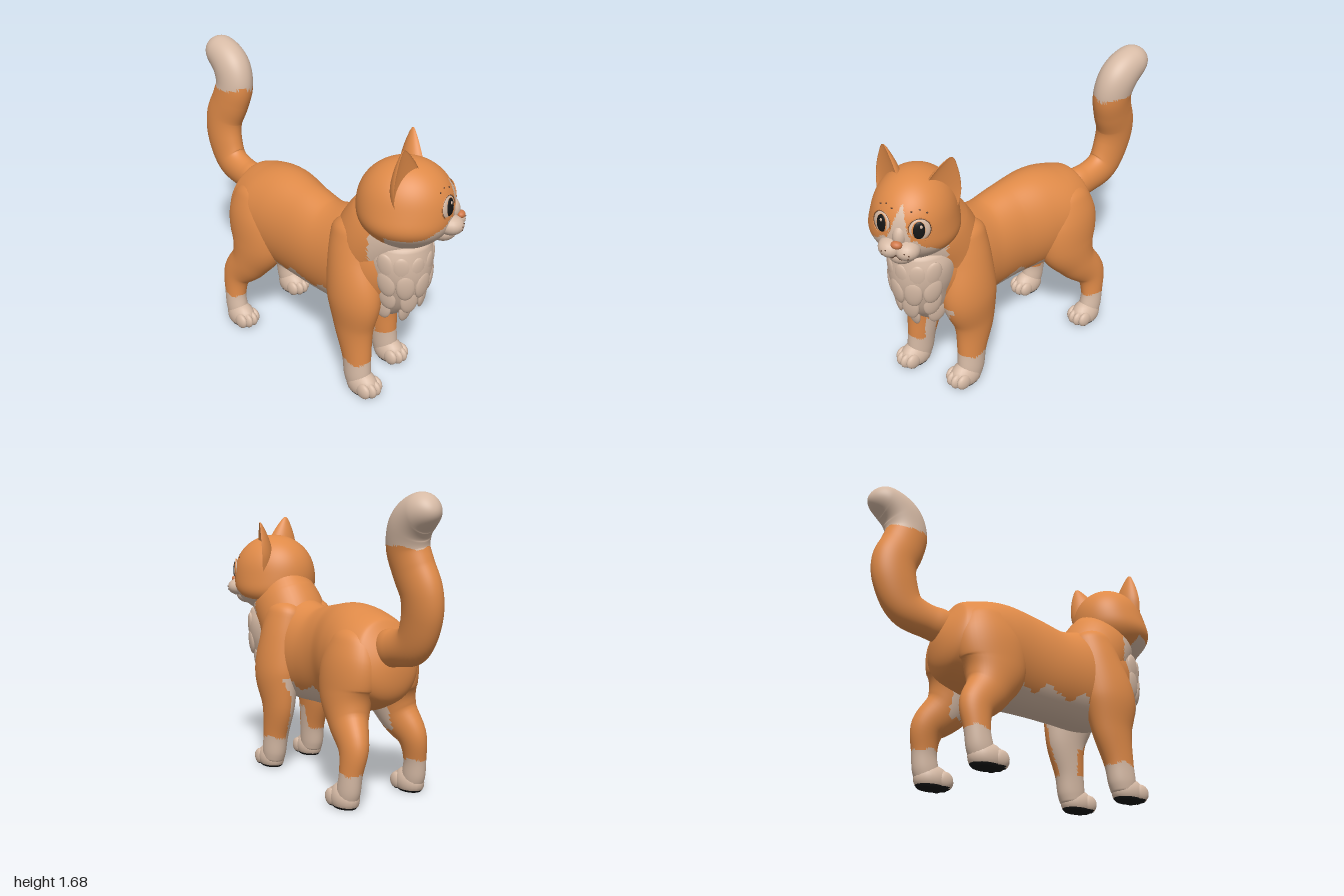
import * as THREE from 'three';
import { mergeGeometries, mergeVertices } from 'three/addons/utils/BufferGeometryUtils.js';

const material = (name, color) => Object.assign(new THREE.MeshStandardMaterial({ color }), { name });
const ORANGE = 0, CREAM = 1, BLACK = 2;

// Elliptical sections swept along a smooth path; rows are [x, y, z, halfWidth, halfDepth].
function loft(rows, along = 60, around = 44, cap = 0.1) {
  const path = new THREE.CatmullRomCurve3(rows.map(r => new THREE.Vector3(r[0], r[1], r[2])));
  const size = new THREE.CatmullRomCurve3(rows.map(r => new THREE.Vector3(r[3], r[4], 0)), false, 'catmullrom');
  const pos = [], index = [];
  for (let i = 0; i <= along; i++) {
    const u = (1 - Math.cos(Math.PI * i / along)) / 2;
    const c = path.getPoint(u), s = size.getPoint(u), t = path.getTangent(u);
    const side = new THREE.Vector3(1, 0, 0).addScaledVector(t, -t.x).normalize();
    const up = new THREE.Vector3().crossVectors(t, side);
    const e = Math.min(1, u / cap, (1 - u) / cap);
    const round = Math.max(0.002, Math.sqrt(Math.max(0, 1 - (1 - e) ** 2)));
    for (let j = 0; j < around; j++) {
      const th = j / around * Math.PI * 2;
      const p = c.clone().addScaledVector(side, s.x * round * Math.cos(th)).addScaledVector(up, s.y * round * Math.sin(th));
      pos.push(p.x, p.y, p.z);
      if (i < along) {
        const a = i * around + j, b = i * around + (j + 1) % around;
        index.push(a, b, a + around, b, b + around, a + around);
      }
    }
  }
  const geo = new THREE.BufferGeometry();
  geo.setAttribute('position', new THREE.Float32BufferAttribute(pos, 3));
  geo.setIndex(index);
  geo.computeVertexNormals();
  return geo;
}

// Moves every vertex by a rule, then welds and smooths.
function reshape(geo, rule) {
  const p = geo.attributes.position, v = new THREE.Vector3();
  for (let i = 0; i < p.count; i++) {
    rule(v.fromBufferAttribute(p, i));
    p.setXYZ(i, v.x, v.y, v.z);
  }
  geo.deleteAttribute('uv');
  geo.deleteAttribute('normal');
  const out = mergeVertices(geo, 1e-5);
  out.computeVertexNormals();
  return out;
}

// Sorts triangles into material groups by the position of their centre.
function paint(geo, pick) {
  const p = geo.attributes.position, idx = geo.index.array, lists = [[], [], []];
  const c = new THREE.Vector3(), v = new THREE.Vector3();
  for (let i = 0; i < idx.length; i += 3) {
    c.set(0, 0, 0);
    for (let k = 0; k < 3; k++) c.add(v.fromBufferAttribute(p, idx[i + k]));
    lists[pick(c.divideScalar(3))].push(idx[i], idx[i + 1], idx[i + 2]);
  }
  geo.setIndex(lists.flat());
  let start = 0;
  lists.forEach((l, m) => { if (l.length) geo.addGroup(start, l.length, m); start += l.length; });
  return geo;
}

export function createModel() {
  const orange = material('orangeFur', 0xdf8a48), cream = material('creamFur', 0xd6baa5);
  const black = material('black', 0x161616), brown = material('darkLine', 0x5a3a28);
  const noseColour = material('nosePink', 0xcf7848);
  const coat = [orange, cream, black];
  const cat = new THREE.Group();
  cat.name = 'cat';

  const add = (parent, name, geo, mat, at = [0, 0, 0], scale = [1, 1, 1], rot = [0, 0, 0]) => {
    const m = new THREE.Mesh(geo, mat);
    m.name = name;
    m.position.set(...at); m.scale.set(...scale); m.rotation.set(...rot);
    parent.add(m);
    return m;
  };
  const ball = new THREE.SphereGeometry(1, 20, 14), dot = new THREE.SphereGeometry(1, 8, 6);

  // Body with a wavy cream belly
  const body = loft([
    [0, .8, -.575, .15, .15], [0, .785, -.5, .2, .225], [0, .77, -.36, .25, .278], [-.01, .76, -.19, .238, .312],
    [-.025, .74, 0, .205, .305], [-.025, .72, .2, .2, .29], [-.01, .74, .4, .21, .31],
    [0, .8, .56, .2, .29], [.01, .82, .68, .16, .21], [.01, .82, .78, .1, .12]], 110, 90, .13);
  add(cat, 'body', paint(body, p =>
    p.y < .545 + .025 * Math.sin(p.z * 26) + .01 * Math.sin(p.z * 50) && p.z > -.38 || p.z > .68 ? CREAM : ORANGE), coat);

  // Neck
  add(cat, 'neck', paint(loft([[0, .7, .44, .2, .2], [0, .9, .5, .21, .22], [.015, 1.04, .59, .195, .22],
    [.03, 1.17, .65, .15, .18]]), p => p.z > .62 && p.y < 1.1 ? CREAM : ORANGE), coat);

  // Chest ruff with soft overlapping tufts
  const ruffRows = [[.025, 1, .66, .15, .165], [.025, .9, .66, .185, .183], [.025, .8, .66, .18, .187],
    [.025, .7, .65, .15, .172], [.02, .6, .6, .115, .148], [.02, .49, .53, .07, .1]];
  add(cat, 'chestRuff', loft(ruffRows, 50, 48, .08), cream);
  [[1, 6], [2, 5], [3, 4], [4, 3]].forEach(([r, n]) => {
    const [x, y, z, a, b] = ruffRows[r];
    for (let i = 0; i < n; i++) {
      const f = (i / (n - 1) - .5) * 2.5;
      const tuft = add(cat, 'chestTuft', ball, cream,
        [x + (a - .015) * Math.sin(f), y - .03 - .03 * Math.cos(f), z + (b - .015) * Math.cos(f)], [.052, .085, .02]);
      tuft.rotation.set(.1, f, -f * .16, 'YXZ');
    }
  });

  // Tail with a cream tip
  add(cat, 'tail', paint(loft([[.015, .86, -.44, .1, .13], [.025, .87, -.6, .08, .1], [.03, .92, -.755, .08, .117],
    [.035, 1.06, -.825, .088, .13], [.045, 1.18, -.832, .093, .132], [.06, 1.3, -.785, .097, .13],
    [.075, 1.41, -.757, .102, .126], [.085, 1.51, -.79, .106, .122], [.09, 1.575, -.88, .1, .105],
    [.095, 1.585, -.997, .085, .082]], 110, 56, .1),
    p => p.y > 1.405 + .01 * Math.sin(p.x * 45) ? CREAM : ORANGE), coat);

  // Paw with four toes and a dark flat sole
  const pawParts = [ball.clone().scale(.073, .085, .105).translate(0, .05, 0)];
  [-.05, -.018, .018, .05].forEach(x =>
    pawParts.push(ball.clone().scale(.026, .048, .05).translate(x, .048, .078 - x * x * 9)));
  const paw = paint(reshape(mergeGeometries(pawParts), v => { v.y = Math.max(v.y, 0); }),
    p => p.y < .012 ? BLACK : CREAM);

  // Legs; each shift slides the lower leg along z for a standing stride
  const foreRows = [[.07, 1.04, .44, .11, .14], [.125, .82, .435, .118, .152], [.155, .6, .445, .12, .174],
    [.16, .4, .42, .09, .13], [.165, .22, .445, .073, .093], [.17, .1, .46, .068, .085], [.17, .03, .47, .06, .07]];
  const hindRows = [[.08, .97, -.34, .11, .13], [.135, .77, -.34, .132, .205], [.155, .6, -.33, .128, .198],
    [.18, .46, -.385, .105, .135], [.215, .33, -.485, .075, .1], [.235, .2, -.49, .06, .074],
    [.24, .1, -.475, .06, .075], [.24, .03, -.455, .055, .065]];
  const leg = (name, rows, s, shift, footZ, inner) => {
    const moved = rows.map(([x, y, z, a, b]) =>
      [s * x, y, z + shift * Math.min(1, Math.max(0, (.95 - y) / .6)), a, b]);
    add(cat, name + 'Leg', paint(loft(moved, 70, 44, .07), p =>
      p.y < .2 + .008 * Math.sin(p.z * 50) || inner(Math.abs(p.x), p.y, p.z) ? CREAM : ORANGE), coat);
    add(cat, name + 'Paw', paw, coat, [s * rows.at(-1)[0], 0, footZ + shift]);
  };
  leg('leftFront', foreRows, 1, 0, .5, (x, y, z) =>
    x < .145 && z < .45 && y < .5 || y > .36 && y < .58 && x < .09 + (y - .36) * .55);
  leg('rightFront', foreRows, -1, .105, .5, (x, y, z) => x < .13 && z > .5 && z < .58 && y < .34);
  leg('leftHind', hindRows, 1, 0, -.435, (x, y, z) => x < .135 && y > .38 && y < .6 && z > -.42);
  leg('rightHind', hindRows, -1, .05, -.435, (x, y, z) => x < .11 && y < .58 && z > -.4);

  // Head, turned towards its left and slightly tilted
  const head = new THREE.Group();
  head.name = 'head';
  head.position.set(.028, 1.19, .685);
  head.rotation.set(0, .59, -.08, 'YXZ');
  cat.add(head);
  const skull = reshape(new THREE.SphereGeometry(1, 120, 90), v => {
    const low = Math.exp(-((v.y + .45) ** 2) / .12);
    v.set(v.x * (.222 + .034 * low), v.y * (v.y < 0 ? .258 : .24), v.z * (.258 + .01 * low));
  });
  add(head, 'skull', paint(skull, p => {
    const x = Math.abs(p.x);
    const cheek = p.z > -.08 && p.y < -.035 - .8 * Math.max(0, x - .085) + .006 * Math.sin(x * 90);
    const blaze = p.z > 0 && p.y < .145 && x < .065 * (.155 - p.y) / .19;
    return cheek || blaze ? CREAM : ORANGE;
  }), coat);

  // Ears: rounded cones with the front pressed hollow
  const earProfile = [[.11, -.04], [.104, .04], [.088, .1], [.062, .16], [.03, .215], [.012, .238], [0, .243]];
  const ear = reshape(new THREE.LatheGeometry(
    new THREE.SplineCurve(earProfile.map(p => new THREE.Vector2(...p))).getPoints(24), 40),
    v => { v.z *= v.z > 0 ? -.2 : .75; });

  // Eye parts sit on a small group facing outwards from the skull
  const ring = new THREE.TorusGeometry(1, .03, 8, 40);
  for (const s of [1, -1]) {
    const name = s > 0 ? 'left' : 'right';
    add(head, name + 'Ear', ear, orange, [s * .138, .1, .025], [1, 1, 1], [0, s * .6, -s * .22]);

    const eye = new THREE.Group();
    eye.name = name + 'Eye';
    eye.position.set(s * .097, .03, .223);
    eye.rotation.set(-.08, s * .45, 0, 'YXZ');
    head.add(eye);
    add(eye, 'eyeWhite', ball, cream, [0, 0, 0], [.056, .06, .014]);
    add(eye, 'eyeRim', ring, orange, [0, 0, .003], [.062, .066, .1]);
    add(eye, 'eyeOutline', ring, brown, [0, 0, .003], [.057, .061, .05]);
    add(eye, 'iris', ball, orange, [-s * .004, 0, .005], [.04, .052, .0115]);
    add(eye, 'pupil', ball, black, [-s * .004, 0, .008], [.033, .049, .0115]);
    add(eye, 'eyeGlint', dot, cream, [.006, .022, .017], [.008, .01, .004]);

    // Muzzle puff, mouth curve, whisker and brow spots
    add(head, name + 'Muzzle', ball, cream, [s * .044, -.09, .24], [.066, .054, .072]);
    const lip = new THREE.CatmullRomCurve3([[0, -.1, .292], [.02, -.125, .288], [.05, -.139, .266], [.085, -.124, .27]]
      .map(([x, y, z]) => new THREE.Vector3(s * x, y, z)));
    add(head, name + 'Lip', new THREE.TubeGeometry(lip, 16, .003, 6), brown);
    [[.05, -.075, .309], [.072, -.085, .305], [.068, -.105, .304]].forEach(([x, y, z]) =>
      add(head, 'whiskerSpot', dot, brown, [s * x, y, z], [.004, .004, .004]));
    [[.05, .118, .216], [.085, .125, .194], [.12, .11, .182]].forEach(([x, y, z]) =>
      add(head, 'browSpot', dot, brown, [s * x, y, z], [.007, .004, .005]));
  }

  // Nose, bridge and chin
  add(head, 'noseBridge', ball, cream, [0, -.02, .222], [.042, .07, .06]);
  add(head, 'nose', ball, noseColour, [0, -.045, .286], [.03, .021, .024]);
  add(head, 'chin', ball, cream, [0, -.14, .2], [.075, .06, .075]);
  return cat;
}
